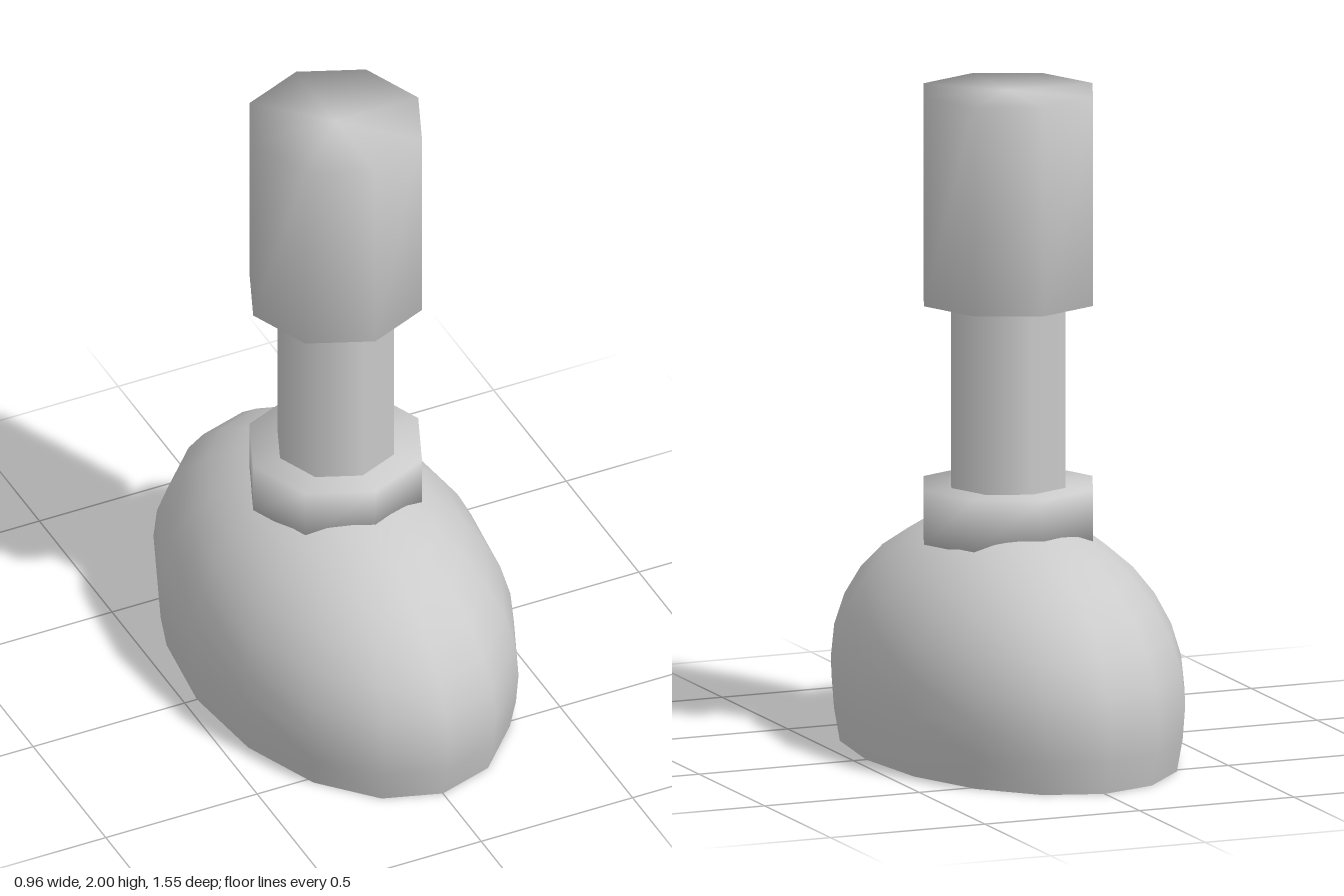
import * as THREE from 'three';
import { mergeVertices } from 'three/addons/utils/BufferGeometryUtils.js';

const material = new THREE.MeshStandardMaterial({ color: 0xcccccc });
const shellMaterial = new THREE.MeshStandardMaterial({ color: 0xcccccc, side: THREE.DoubleSide });

// Octagonal prism between two heights; soft ones share normals across the rims
function prism(name, radius, bottom, top, soft) {
  let geometry = new THREE.CylinderGeometry(radius, radius, top - bottom, 8);
  if (soft) {
    geometry.deleteAttribute('normal');
    geometry.deleteAttribute('uv');
    geometry = mergeVertices(geometry);
    geometry.computeVertexNormals();
  }
  const mesh = new THREE.Mesh(geometry, material);
  mesh.name = name;
  mesh.position.set(0.002, (bottom + top) / 2, -0.006);
  return mesh;
}

export function createModel() {
  const group = new THREE.Group();
  group.name = 'stamp';

  // Oval dome, hollow and open underneath: a lathed quarter ellipse over a short tapered skirt
  const widestY = 0.2, domeHeight = 0.515, steps = 8;
  const profile = [new THREE.Vector2(0.953, 0), new THREE.Vector2(0.986, 0.1)];
  for (let i = 0; i <= steps; i++) {
    const a = (i / steps) * Math.PI / 2;
    profile.push(new THREE.Vector2(i < steps ? Math.cos(a) : 0, widestY + domeHeight * Math.sin(a)));
  }
  const shell = new THREE.LatheGeometry(profile, 16);
  shell.scale(0.482, 1, 0.773);
  const body = new THREE.Mesh(shell, shellMaterial);
  body.name = 'body';
  group.add(body);

  // Collar, shaft and grip
  group.add(prism('collar', 0.2725, 0.64, 0.805, true));
  group.add(prism('shaft', 0.184, 0.66, 1.42, false));
  group.add(prism('grip', 0.2725, 1.365, 2, true));

  return group;
}
